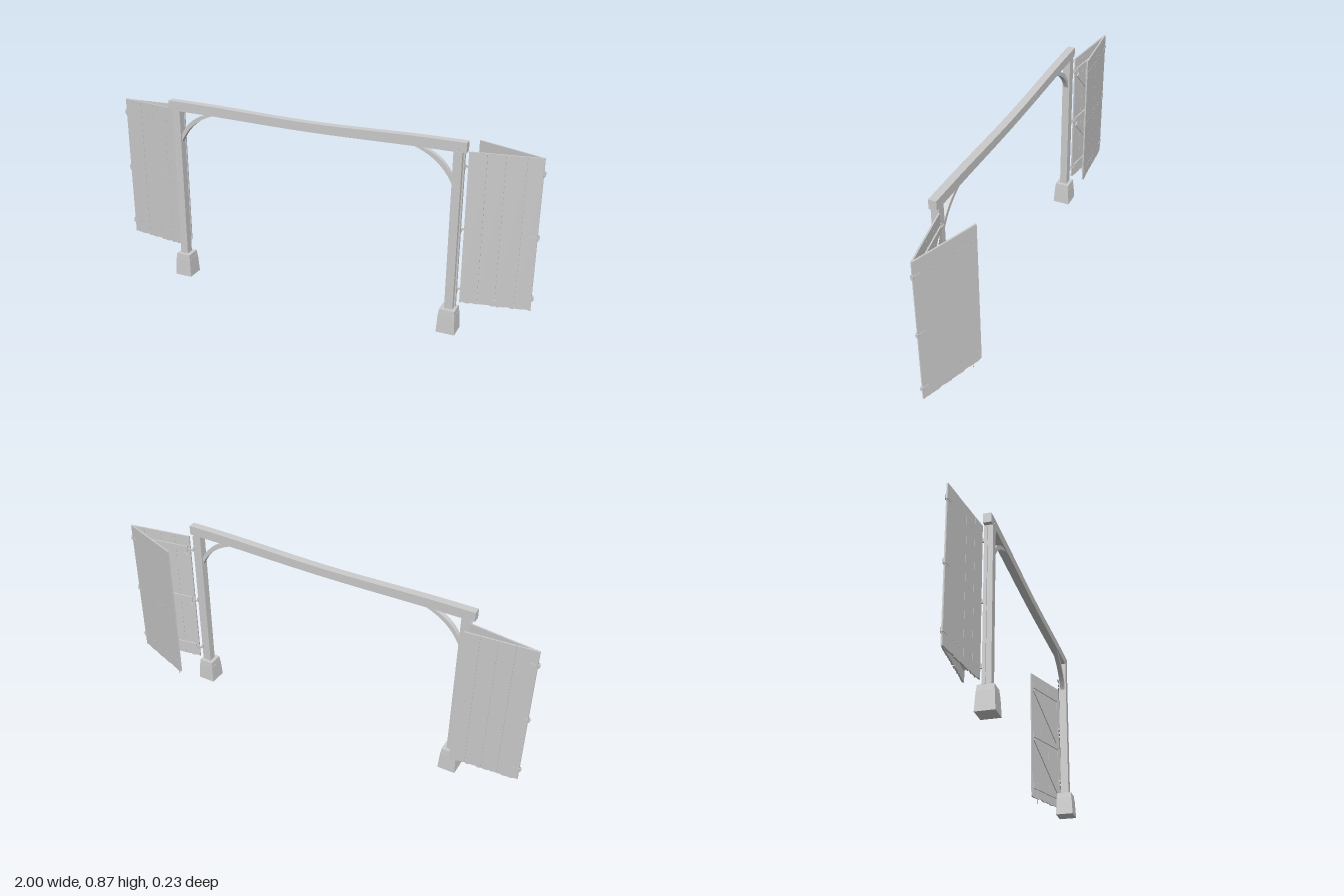
import * as THREE from 'three';
import { mergeGeometries } from 'three/addons/utils/BufferGeometryUtils.js';

const grey = new THREE.MeshStandardMaterial({ color: 0xcccccc });
grey.name = 'plain grey';

const GATE_Z = 0.072;                    // plane of posts and beam
const RAIL_HEIGHTS = [0.19, 0.47, 0.75]; // rails and hinges
const DOOR_BOTTOM = 0.131, DOOR_TOP = 0.817, THICK = 0.007;

// Small seeded generator for weathering
let seed = 7;
function rand() {
  seed = (seed * 16807) % 2147483647;
  return seed / 2147483647;
}

function add(parent, name, geometry, x = 0, y = 0, z = 0) {
  const mesh = new THREE.Mesh(geometry, grey);
  mesh.name = name;
  mesh.position.set(x, y, z);
  parent.add(mesh);
  return mesh;
}
const box = (w, h, d) => new THREE.BoxGeometry(w, h, d);

// Square block that tapers upward
function taperedBlock(bottomHalf, topHalf, height) {
  const g = new THREE.CylinderGeometry(topHalf * Math.SQRT2, bottomHalf * Math.SQRT2, height, 4);
  return g.rotateY(Math.PI / 4).toNonIndexed();
}

// One plank with a ragged lower end
function plankGeometry(x0, x1) {
  const shape = new THREE.Shape();
  shape.moveTo(x1, DOOR_TOP);
  shape.lineTo(x0, DOOR_TOP);
  const steps = Math.max(4, Math.round((x1 - x0) / 0.012));
  for (let i = 0; i <= steps; i++) {
    shape.lineTo(x0 + ((x1 - x0) * i) / steps, DOOR_BOTTOM + (rand() - 0.5) * 0.008);
  }
  const g = new THREE.ExtrudeGeometry(shape, { depth: THICK, bevelEnabled: false });
  return g.translate(0, 0, -THICK / 2 + (rand() - 0.5) * 0.001);
}

// Door leaf from a to b (a has the lower x). inner: side of the rails, joint: folding end (0 or 1)
function doorLeaf(name, a, b, inner, joint) {
  const leaf = new THREE.Group();
  leaf.name = name;
  const w = Math.hypot(b[0] - a[0], b[1] - a[1]);
  leaf.position.set(a[0], 0, a[1]);
  leaf.rotation.y = Math.atan2(a[1] - b[1], b[0] - a[0]);

  // Planks
  const cuts = joint ? [0, 0.25, 0.5, 0.78, 1] : [0, 0.3, 0.53, 0.77, 1];
  for (let i = 0; i < 4; i++) {
    add(leaf, 'plank', plankGeometry(cuts[i] * w + 0.0004, cuts[i + 1] * w - 0.0004));
  }

  // Rails and diagonal braces on the inner face, clear of the fold
  const u0 = joint ? 0.012 : 0.07, u1 = joint ? w - 0.07 : w - 0.012;
  const zIn = inner * (THICK / 2 + 0.003);
  const railW = u1 - u0, mid = (u0 + u1) / 2;
  for (const y of RAIL_HEIGHTS) add(leaf, 'rail', box(railW, 0.03, 0.006), mid, y, zIn);
  for (const y of [0.33, 0.61]) {
    const brace = add(leaf, 'diagonalBrace', box(Math.hypot(railW - 0.02, 0.23), 0.022, 0.005), mid, y, zIn);
    brace.rotation.z = (joint ? -1 : 1) * Math.atan2(0.23, railW - 0.02);
  }

  // Nail heads along the rails on the outer face
  const nails = [];
  for (const y of RAIL_HEIGHTS) {
    for (let i = 0; i < 18; i++) {
      const nail = new THREE.CylinderGeometry(0.0016, 0.0016, 0.002, 6).rotateX(Math.PI / 2);
      nails.push(nail.translate(u0 + (railW * (i + 0.5)) / 18, y + (i % 2 ? 0.002 : -0.002), -inner * (THICK / 2 + 0.0008)));
    }
  }
  add(leaf, 'nailHeads', mergeGeometries(nails));

  // Short hinge straps by the fold
  for (const y of RAIL_HEIGHTS) {
    add(leaf, 'hingeStrap', box(0.03, 0.009, 0.002), joint ? w - 0.015 : 0.015, y, -inner * (THICK / 2 + 0.001));
  }
  return leaf;
}

// Pair of leaves folded together, hung from one post
function foldingDoor(side, hang, fold, tip) {
  const door = new THREE.Group();
  door.name = side > 0 ? 'leftDoor' : 'rightDoor';
  const joint = side > 0 ? 1 : 0;
  const span = (p) => (side > 0 ? [p, fold] : [fold, p]);
  door.add(doorLeaf('frontLeaf', ...span(hang), -1, joint));
  door.add(doorLeaf('backLeaf', ...span(tip), 1, joint));
  for (const y of RAIL_HEIGHTS) {
    add(door, 'foldKnuckle', new THREE.CylinderGeometry(0.006, 0.006, 0.018, 10), fold[0] + side * 0.003, y, fold[1]);
    add(door, 'foldPin', new THREE.CylinderGeometry(0.0025, 0.0025, 0.028, 8), fold[0] + side * 0.003, y, fold[1]);
    // Hinge between post and front leaf
    add(door, 'postHinge', box(0.05, 0.009, 0.004), hang[0] + side * 0.004, y, hang[1] - 0.006);
    add(door, 'postHingePin', new THREE.CylinderGeometry(0.005, 0.005, 0.018, 10), side * 0.682, y, 0.05);
  }
  return door;
}

// Post on its stone footing with a curved knee brace
function postAssembly(side) {
  const post = new THREE.Group();
  post.name = side > 0 ? 'leftPost' : 'rightPost';
  const x = side * 0.658;
  const stone = (name, geometry, y) => {
    geometry.computeVertexNormals();
    add(post, name, geometry, x, y, GATE_Z);
  };
  stone('footing', taperedBlock(0.0415, 0.037, 0.085), 0.0425);
  stone('footingCap', taperedBlock(0.036, 0.034, 0.025), 0.0975);
  add(post, 'postTimber', box(0.037, 0.717, 0.036), x + side * 0.002, 0.4665, GATE_Z);
  add(post, 'jambStrip', box(0.006, 0.7, 0.014), side * 0.681, 0.465, 0.061);

  // Knee brace outlined by two parallel curves
  const s = new THREE.Shape();
  s.moveTo(0.65, 0.69);
  s.bezierCurveTo(0.625, 0.755, 0.575, 0.805, 0.5, 0.823);
  s.lineTo(0.468, 0.823);
  s.bezierCurveTo(0.55, 0.795, 0.61, 0.75, 0.647, 0.665);
  s.closePath();
  const g = new THREE.ExtrudeGeometry(s, { depth: 0.022, bevelEnabled: false, curveSegments: 10 });
  g.translate(0, 0, -0.011);
  const brace = add(post, 'kneeBrace', g, 0, 0, GATE_Z);
  if (side < 0) {
    brace.rotation.y = Math.PI;
  }

  // Pegs at the head of the post
  for (const y of [0.838, 0.852]) {
    const peg = add(post, 'peg', new THREE.CylinderGeometry(0.003, 0.003, 0.038, 8), x, y, GATE_Z);
    peg.rotation.x = Math.PI / 2;
  }
  return post;
}

// Sagging top beam
function beamGeometry() {
  const g = box(1.394, 0.044, 0.035, 16, 1, 1);
  const beam = new THREE.BoxGeometry(1.394, 0.044, 0.035, 16, 1, 1);
  g.dispose();
  const p = beam.attributes.position;
  for (let i = 0; i < p.count; i++) {
    const t = Math.min(1, Math.abs(p.getX(i)) / 0.6);
    const sag = 0.5 + 0.5 * Math.cos(Math.PI * t);
    p.setY(i, p.getY(i) - sag * (p.getY(i) > 0 ? 0.012 : 0.008));
  }
  beam.computeVertexNormals();
  return beam;
}

export function createModel() {
  const model = new THREE.Group();
  model.name = 'gateway';

  add(model, 'topBeam', beamGeometry(), -0.002, 0.845, 0.071);

  // Pegs of the beam's scarf joint
  for (const [x, y] of [[-0.23, 0.842], [-0.2, 0.834], [-0.17, 0.842]]) {
    const peg = add(model, 'scarfPeg', new THREE.CylinderGeometry(0.003, 0.003, 0.038, 8), x, y, 0.071);
    peg.rotation.x = Math.PI / 2;
  }

  for (const side of [1, -1]) model.add(postAssembly(side));

  model.add(foldingDoor(1, [0.694, 0.045], [0.99, -0.004], [0.697, -0.111]));
  model.add(foldingDoor(-1, [-0.685, 0.045], [-0.991, 0.004], [-0.682, -0.018]));

  // Drop bolt near the free edge of the left back leaf
  add(model, 'dropBolt', new THREE.CylinderGeometry(0.002, 0.002, 0.11, 8), 0.73, 0.153, -0.09);
  return model;
}
